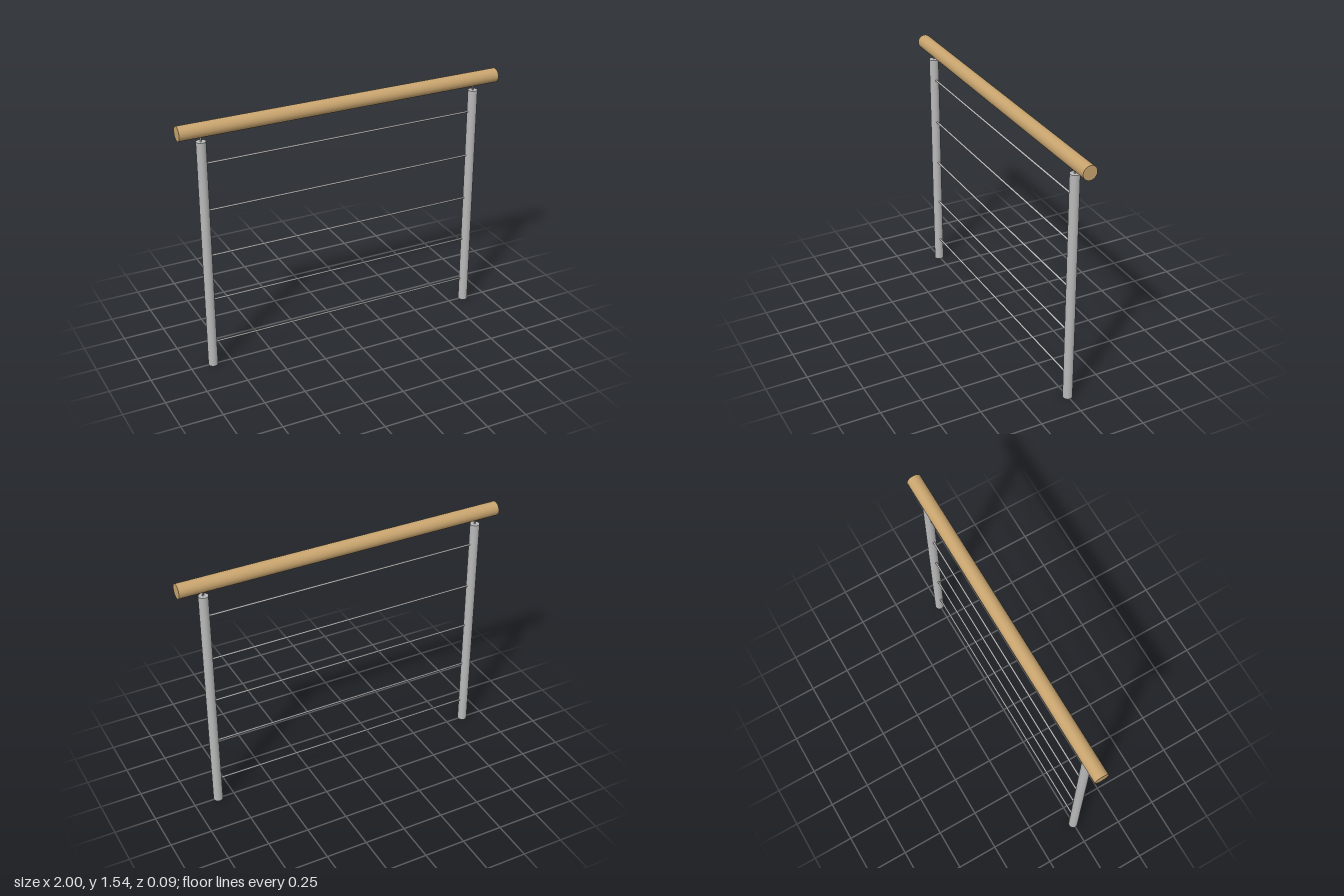
import * as THREE from 'three';

export function createModel() {
  const model = new THREE.Group();
  model.name = 'railing';

  const wood = new THREE.MeshStandardMaterial({ color: 0xc8a46e });
  wood.name = 'wood';
  const steel = new THREE.MeshStandardMaterial({ color: 0xb8b8b8 });
  steel.name = 'steel';

  // Round bar of a given radius and length, upright or lying along x
  const addBar = (name, radius, length, x, y, material, segments, alongX = false) => {
    const geometry = new THREE.CylinderGeometry(radius, radius, length, segments);
    if (alongX) geometry.rotateZ(-Math.PI / 2);
    const bar = new THREE.Mesh(geometry, material);
    bar.name = name;
    bar.position.set(x, y, 0);
    model.add(bar);
  };

  const postHeight = 1.428, postRadius = 0.0285;
  const rightX = -0.865, leftX = 0.851;
  const railY = 1.497;

  // Handrail
  addBar('handrail', 0.0425, 2, 0, railY, wood, 48, true);

  // Posts, each with a thin pin carrying the handrail
  for (const [side, x] of [['right', rightX], ['left', leftX]]) {
    addBar(side + 'Post', postRadius, postHeight, x, postHeight / 2, steel, 32);
    const pinBottom = postHeight - 0.02, pinTop = railY - 0.03;
    addBar(side + 'Pin', 0.005, pinTop - pinBottom, x, (pinTop + pinBottom) / 2, steel, 16);
  }

  // Five evenly spaced rods between the posts
  for (let i = 0; i < 5; i++) {
    addBar('rod' + (i + 1), 0.0057, leftX - rightX - postRadius, (leftX + rightX) / 2,
      0.15 + i * 0.286, steel, 16, true);
  }

  return model;
}
